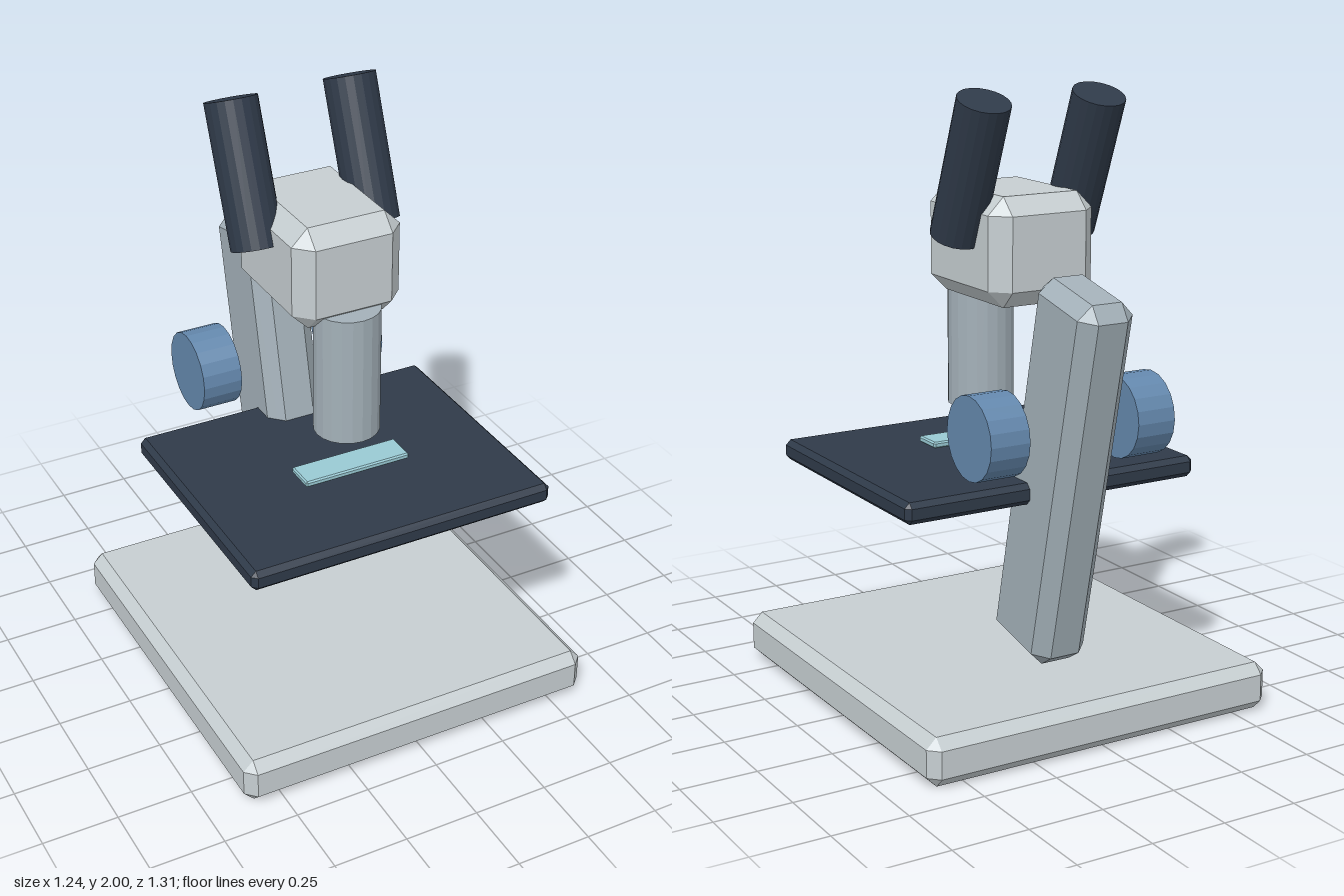
import * as THREE from 'three';
import { ConvexGeometry } from 'three/addons/geometries/ConvexGeometry.js';

const paint = (color) => new THREE.MeshStandardMaterial({ color, flatShading: true, side: THREE.FrontSide });
const shell = paint(0xc6ced1);
const metal = paint(0xa3b0b8);
const dark = paint(0x2f3a49);
const blue = paint(0x6488ad);
const glass = paint(0x98c9d3);

// Box with every edge cut at 45 degrees and a small triangle at each corner
function chamferBox(w, h, d, c) {
  const points = [];
  for (const sx of [-1, 1]) for (const sy of [-1, 1]) for (const sz of [-1, 1]) {
    for (let axis = 0; axis < 3; axis++) {
      const cut = [c, c, c];
      cut[axis] = 0;
      points.push(new THREE.Vector3(sx * (w / 2 - cut[0]), sy * (h / 2 - cut[1]), sz * (d / 2 - cut[2])));
    }
  }
  return new ConvexGeometry(points);
}

const rod = (radius, length) => new THREE.CylinderGeometry(radius, radius, length, 20);

export function createModel() {
  const model = new THREE.Group();
  model.name = 'microscope';

  function add(name, geometry, material, x, y, z, tilt = 0) {
    const mesh = new THREE.Mesh(geometry, material);
    mesh.name = name;
    mesh.position.set(x, y, z);
    mesh.rotation.x = tilt;
    model.add(mesh);
    return mesh;
  }

  // Foot and leaning arm
  add('base', chamferBox(1.244, 0.157, 1.308, 0.034), shell, 0, 0.0785, 0);
  add('arm', chamferBox(0.196, 1.24, 0.312, 0.046), metal, 0, 0.815, -0.373, -0.22);

  // Specimen table with its glass slide
  add('stage', chamferBox(1.06, 0.07, 0.874, 0.017), dark, 0, 0.754, 0.092);
  add('slide', chamferBox(0.374, 0.021, 0.104, 0.005), glass, 0, 0.817, 0.157);

  // Optics
  add('objective', rod(0.108, 0.438), metal, 0, 1.16, 0.126);
  add('head', chamferBox(0.374, 0.344, 0.468, 0.055), shell, 0, 1.503, -0.062);

  // Mirrored eyepieces and focus knobs
  for (const [side, s] of [['left', 1], ['right', -1]]) {
    add(side + 'Eyepiece', rod(0.085, 0.463), dark, s * 0.205, 1.754, -0.166, -0.376);
    const knob = add(side + 'FocusKnob', rod(0.134, 0.136), blue, s * 0.264, 0.973, -0.373);
    knob.rotation.z = Math.PI / 2;
  }

  return model;
}
